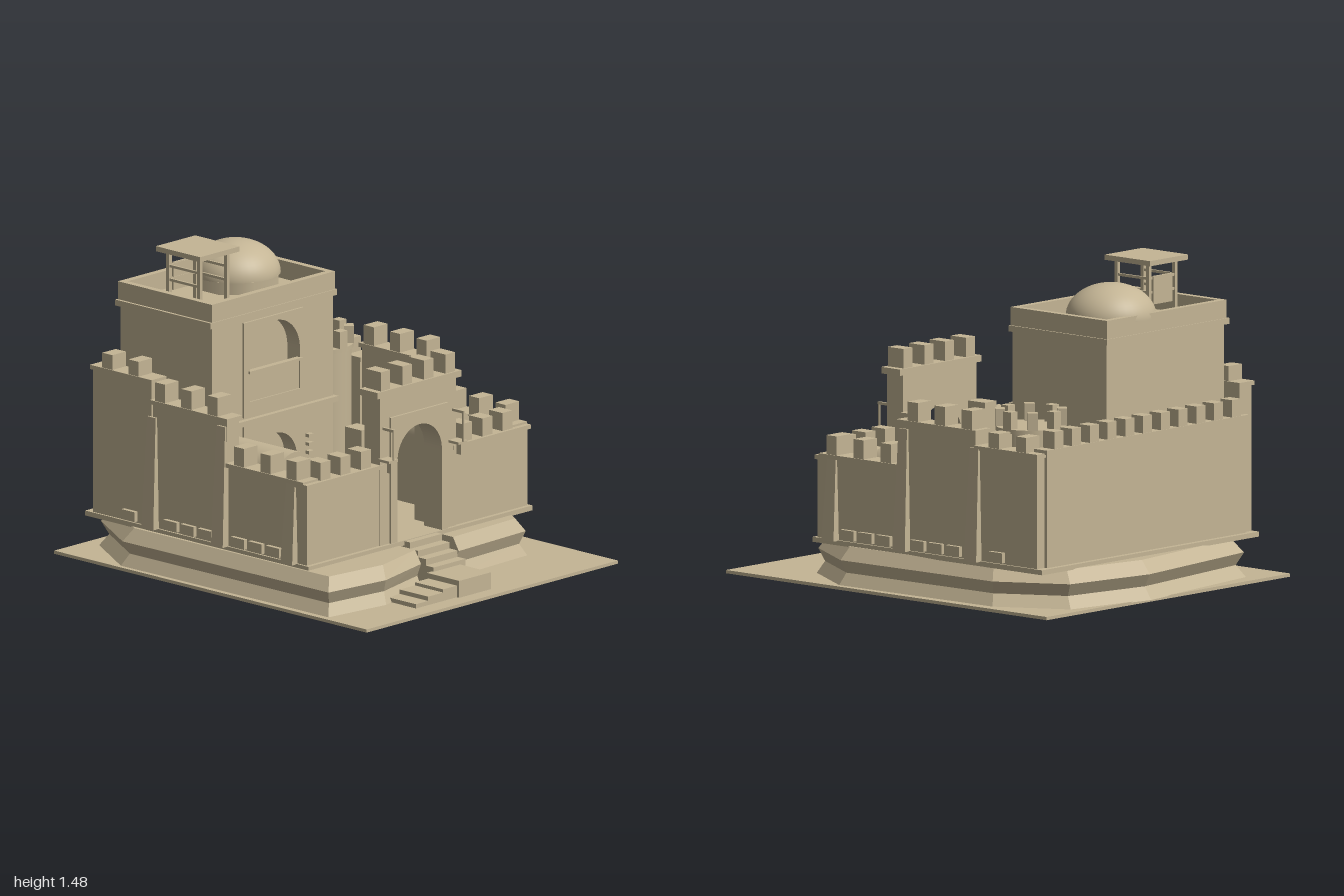
import * as THREE from 'three';

const sand = new THREE.MeshStandardMaterial({ color: 0xc4b595 });
sand.name = 'sandstone';
sand.side = THREE.DoubleSide;

export function createModel() {
  const root = new THREE.Group();
  root.name = 'fortress';

  const add = (name, geo, parent = root) => {
    const m = new THREE.Mesh(geo, sand);
    m.name = name;
    parent.add(m);
    return m;
  };
  // Box given by its extents
  const box = (name, x0, x1, y0, y1, z0, z1) => {
    const m = add(name, new THREE.BoxGeometry(x1 - x0, y1 - y0, z1 - z0));
    m.position.set((x0 + x1) / 2, (y0 + y1) / 2, (z0 + z1) / 2);
    return m;
  };
  const cyl = (name, x, z, r0, r1, y0, y1, n = 32) => {
    const m = add(name, new THREE.CylinderGeometry(r1, r0, y1 - y0, n));
    m.position.set(x, (y0 + y1) / 2, z);
    return m;
  };
  // Upright wall with round-arched openings [x0, x1, sill, spring]
  const archWall = (name, x0, x1, y0, y1, z0, z1, openings) => {
    const s = new THREE.Shape([[x0, y0], [x1, y0], [x1, y1], [x0, y1]].map(p => new THREE.Vector2(...p)));
    for (const [a, b, sill, spring] of openings) {
      const h = new THREE.Path();
      h.moveTo(a, sill);
      h.lineTo(a, spring);
      h.absarc((a + b) / 2, spring, (b - a) / 2, Math.PI, 0, true);
      h.lineTo(b, sill);
      h.closePath();
      s.holes.push(h);
    }
    const g = new THREE.ExtrudeGeometry(s, { depth: z1 - z0, bevelEnabled: false, curveSegments: 20 });
    add(name, g).position.z = z0;
  };

  // Base plate
  box('basePlate', -0.83, 0.83, 0, 0.015, -0.98, 1);

  // Rock terrace: stacked outline rings with a notch for the stairs
  const outline = [[-0.8, 0.73], [-0.46, 0.77], [-0.14, 0.69], [-0.14, 0.52], [0.14, 0.52], [0.14, 0.66],
    [0.61, 0.64], [0.8, 0.33], [0.78, -0.6], [0.6, -0.92], [0.14, -1], [-0.62, -0.9], [-0.81, -0.58]];
  const levels = [[0.012, 1], [0.07, 0.955], [0.13, 0.99], [0.19, 0.935]];
  const ring = ([y, k]) => outline.map(([x, z]) =>
    [Math.abs(x) < 0.15 && z > 0 ? x : x * k, y, z === 0.52 ? z : z * k]);
  const rock = [];
  for (let l = 0; l < 3; l++) {
    const a = ring(levels[l]), b = ring(levels[l + 1]);
    for (let i = 0; i < a.length; i++) {
      const j = (i + 1) % a.length;
      rock.push(a[i], a[j], b[j], a[i], b[j], b[i]);
    }
  }
  const top = ring(levels[3]);
  for (const f of THREE.ShapeUtils.triangulateShape(top.map(p => new THREE.Vector2(p[0], -p[2])), []))
    rock.push(...f.map(i => top[i]));
  const rockGeo = new THREE.BufferGeometry();
  rockGeo.setAttribute('position', new THREE.Float32BufferAttribute(rock.flat(), 3));
  rockGeo.computeVertexNormals();
  add('rockTerrace', rockGeo);

  // Entrance stairs, landing and side steps
  for (let i = 0; i < 4; i++)
    box('entranceStep', -0.105, 0.105, 0.01, 0.205 - i * 0.03, 0.5, 0.58 + i * 0.05);
  box('landing', -0.14, 0.07, 0.01, 0.095, 0.72, 0.925);
  [[-0.41, 0.035], [-0.33, 0.055], [-0.23, 0.07]].forEach(([x, y], i) =>
    box('sideStep', x, [-0.33, -0.23, -0.14][i], 0.01, y, 0.73, 0.91));

  // Courtyard floor
  box('courtyard', -0.74, 0.74, 0.185, 0.208, -0.87, 0.545);

  // Curtain walls; each has a thin cap
  const wall = (name, x0, x1, y, z0, z1) => {
    box(name, x0, x1, 0.2, y - 0.02, z0, z1);
    box(name + 'Cap', x0 - 0.01, x1 + 0.01, y - 0.02, y, z0 - 0.01, z1 + 0.01);
  };
  const sections = { '-1': [0.905, 0.81], '1': [0.74, 0.81] };
  for (const s of [-1, 1]) {
    const span = (a, b) => [Math.min(s * a, s * b), Math.max(s * a, s * b)];
    const [back, mid] = sections[s];
    const [xa, xb] = span(0.65, 0.73);
    wall('frontWall', ...span(0.24, 0.73), 0.59, 0.43, 0.525);
    wall('sideWallFront', xa, xb, 0.6, 0.03, 0.5);
    wall('sideWallMiddle', xa, xb, mid, -0.45, 0.02);
    wall('sideWallBack', xa, xb, back, -0.83, -0.46);

    // Merlons on the side walls
    for (let i = 0; i < 8; i++) {
      const z = -0.735 + i * 0.167;
      const y = z < -0.46 ? back : z < 0.02 ? mid : 0.6;
      box('sideMerlon', ...span(0.645, 0.735), y, y + (y === back ? 0.07 : 0.088), z - 0.032, z + 0.032);
    }
    for (const x of [0.335, 0.468, 0.6])
      box('frontMerlon', s * x - 0.033, s * x + 0.033, 0.59, 0.675, 0.435, 0.52);

    // Wedge buttresses, deepest at the foot
    [[0.43, 0.58], [-0.01, 0.77], [-0.45, 0.73]].forEach(([z, h]) => {
      const g = new THREE.BoxGeometry(0.06, h - 0.205, 0.075);
      const p = g.attributes.position;
      for (let i = 0; i < p.count; i++) if (p.getY(i) > 0) {
        if (p.getX(i) * s > 0) p.setX(i, s * 0.003);
        p.setZ(i, p.getZ(i) * 0.7);
      }
      g.computeVertexNormals();
      add('buttress', g).position.set(s * 0.737, (h + 0.205) / 2, z);
    });
    // Row of foot blocks
    for (const z of [0.325, 0.215, 0.105, -0.105, -0.215, -0.325, -0.59])
      box('footBlock', ...span(0.72, 0.75), 0.215, 0.262, z - 0.042, z + 0.042);

    // Gate lantern on a bracket, and inner pier
    box('lanternArm', s * 0.23 - 0.006, s * 0.23 + 0.006, 0.755, 0.767, 0.52, 0.602);
    box('lanternRod', s * 0.23 - 0.004, s * 0.23 + 0.004, 0.62, 0.76, 0.592, 0.6);
    box('lantern', s * 0.23 - 0.013, s * 0.23 + 0.013, 0.56, 0.62, 0.567, 0.593);
    box('lanternBrace', s * 0.23 - 0.03, s * 0.23 + 0.03, 0.61, 0.622, 0.525, 0.595);
    box('gatePier', ...span(0.19, 0.27), 0.2, 0.74, 0.325, 0.43);

    // Barrel-vaulted houses
    const [vx0, vx1] = s < 0 ? [-0.64, -0.39] : [0.38, 0.63];
    const [vz0, vz1] = s < 0 ? [-0.14, 0.24] : [-0.1, 0.28];
    box('houseBody', vx0, vx1, 0.2, 0.525, vz0, vz1);
    const vault = add('barrelVault', new THREE.CylinderGeometry(0.125, 0.125, vz1 - vz0, 32, 1, false, Math.PI / 2, Math.PI));
    vault.rotation.x = Math.PI / 2;
    vault.position.set((vx0 + vx1) / 2, 0.525, (vz0 + vz1) / 2);
  }

  // Back wall
  wall('backWall', -0.68, 0.68, 0.755, -0.845, -0.785);
  for (let i = 0; i < 11; i++)
    box('backMerlon', -0.635 + i * 0.121, -0.573 + i * 0.121, 0.755, 0.835, -0.852, -0.782);

  // Gatehouse
  archWall('gatehouse', -0.25, 0.25, 0.2, 0.91, 0.43, 0.53, [[-0.148, 0.145, 0.205, 0.593]]);
  archWall('gateSurround', -0.19, 0.187, 0.2, 0.805, 0.53, 0.542, [[-0.148, 0.145, 0.205, 0.593]]);
  box('gateCap', -0.278, 0.278, 0.91, 0.94, 0.425, 0.54);
  for (const x of [-0.215, -0.072, 0.07, 0.213])
    box('gateMerlon', x - 0.031, x + 0.031, 0.94, 1.03, 0.435, 0.53);

  // Keep with recessed arches in its front
  box('keepBody', -0.61, 0.19, 0.2, 1.2, -0.77, -0.26);
  const arches = [[-0.37, -0.04, 0.78, 0.97], [-0.34, -0.06, 0.21, 0.46]];
  archWall('keepFront', -0.61, 0.19, 0.2, 1.2, -0.26, -0.19, arches);
  archWall('upperArchFrame', -0.41, -0.015, 0.71, 1.16, -0.19, -0.18, [arches[0]]);
  archWall('lowerArchFrame', -0.41, -0.005, 0.2, 0.67, -0.19, -0.18, [arches[1]]);
  box('keepCornice', -0.62, 0.2, 0.675, 0.7, -0.2, -0.165);
  box('balconyRail', -0.38, -0.03, 0.915, 0.927, -0.2, -0.17);
  box('balconyPanel', -0.37, -0.04, 0.78, 0.915, -0.2, -0.187);
  for (let i = 0; i < 7; i++)
    box('ladderRung', 0.005, 0.035, 0.3 + i * 0.04, 0.315 + i * 0.04, -0.19, -0.165);

  // Keep parapet
  box('parapetBand', -0.63, 0.205, 1.175, 1.203, -0.785, -0.18);
  box('parapetLeft', 0.165, 0.197, 1.2, 1.288, -0.78, -0.185);
  box('parapetRight', -0.617, -0.585, 1.2, 1.288, -0.78, -0.185);
  box('parapetFront', -0.585, 0.165, 1.2, 1.288, -0.217, -0.185);
  box('parapetBack', -0.585, 0.165, 1.2, 1.288, -0.78, -0.748);

  // Dome on an eight-sided drum
  cyl('domeDrum', -0.05, -0.58, 0.212, 0.212, 1.2, 1.262, 8).rotation.y = Math.PI / 8;
  const dome = add('dome', new THREE.SphereGeometry(0.208, 40, 16, 0, Math.PI * 2, 0, Math.PI / 2));
  dome.scale.y = 0.74;
  dome.position.set(-0.05, 1.26, -0.58);

  // Lookout canopy
  box('canopyRoof', -0.57, -0.31, 1.458, 1.482, -0.585, -0.305);
  for (const x of [-0.53, -0.352]) {
    for (const z of [-0.54, -0.345]) box('canopyPost', x - 0.009, x + 0.009, 1.2, 1.46, z - 0.009, z + 0.009);
    for (const y of [1.32, 1.385]) box('canopyRail', x - 0.005, x + 0.005, y, y + 0.012, -0.54, -0.345);
  }
  for (const y of [1.32, 1.385]) box('canopyBackRail', -0.53, -0.352, y, y + 0.012, -0.545, -0.535);
  box('canopyScreen', -0.503, -0.373, 1.27, 1.4, -0.55, -0.538);

  // Round tower with a ring of merlons
  cyl('roundTower', 0.495, -0.58, 0.155, 0.155, 0.2, 0.8);
  cyl('towerCap', 0.495, -0.58, 0.163, 0.163, 0.8, 0.82);
  for (let i = 0; i < 8; i++) {
    const a = i * Math.PI / 4;
    const m = add('towerMerlon', new THREE.BoxGeometry(0.048, 0.08, 0.045));
    m.position.set(0.495 + Math.sin(a) * 0.142, 0.86, -0.58 + Math.cos(a) * 0.142);
    m.rotation.y = a;
  }

  // Well with crossbar
  const profile = [[0.112, 0], [0.112, 0.05], [0.085, 0.05], [0.08, 0.12], [0.04, 0.12], [0.035, 0.03], [0, 0.03]];
  add('well', new THREE.LatheGeometry(profile.map(p => new THREE.Vector2(...p)), 32)).position.set(0.32, 0.2, -0.205);
  box('wellBar', 0.205, 0.435, 0.34, 0.355, -0.213, -0.198);
  for (const x of [0.215, 0.425]) box('wellPost', x - 0.008, x + 0.008, 0.2, 0.35, -0.213, -0.198);

  // Workbench with knobs
  box('benchBody', 0.06, 0.26, 0.2, 0.33, -0.05, 0.06);
  box('benchTop', 0.04, 0.285, 0.33, 0.35, -0.06, 0.07);
  box('benchTray', 0.09, 0.18, 0.35, 0.36, -0.03, 0.04);
  for (let i = 0; i < 4; i++) cyl('benchKnob', 0.24, -0.03 + i * 0.027, 0.008, 0.008, 0.35, 0.36, 12);

  return root;
}
